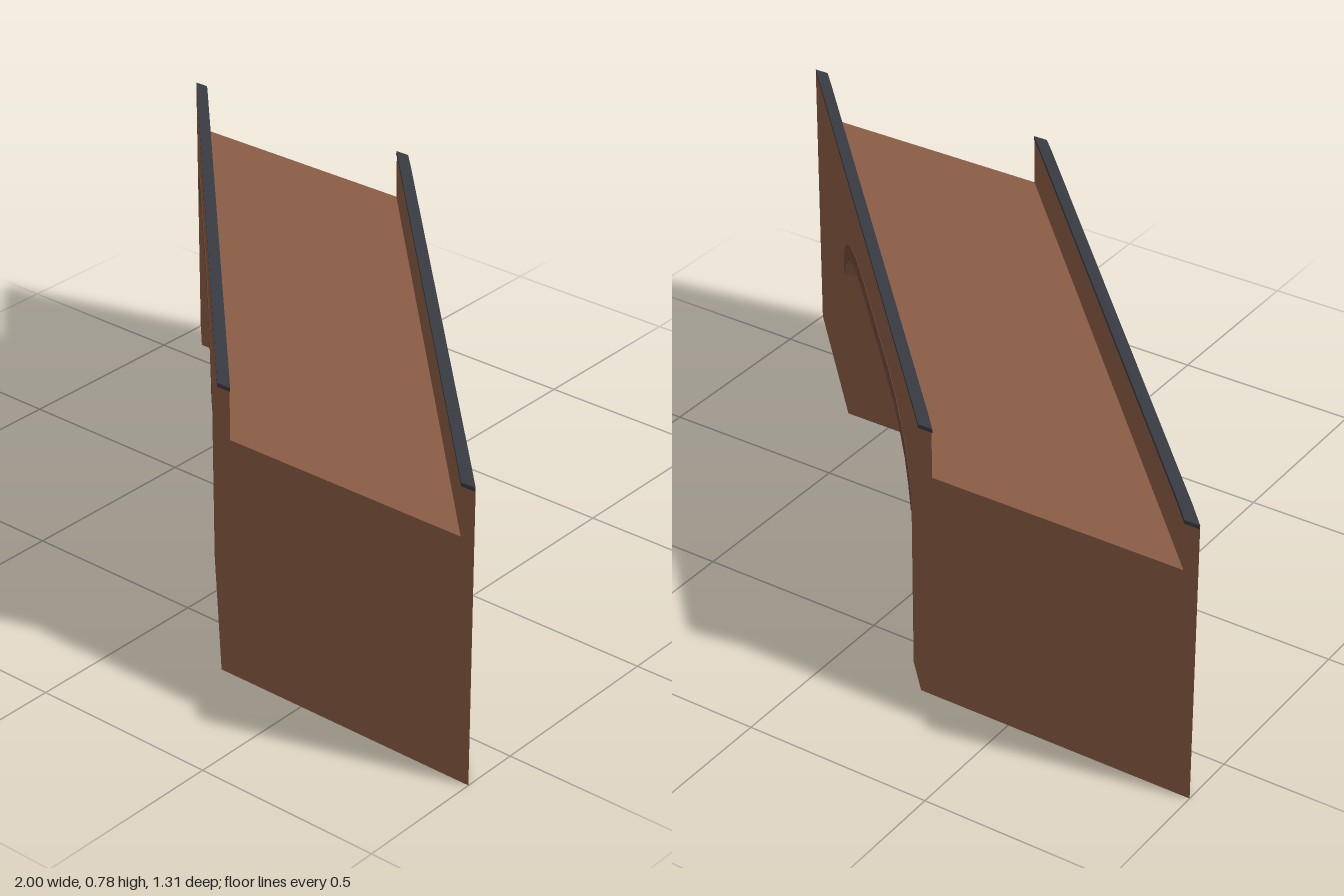
import * as THREE from 'three';

const SKEW = 0.954, END = 0.655, HALF = 0.375, WALL = 0.038;
const ARCH_MID = -0.15;

const brown = new THREE.MeshStandardMaterial({ color: 0x8b5d46 });
brown.name = 'brown masonry';
const darkBrown = new THREE.MeshStandardMaterial({ color: 0x6f4a3c });
darkBrown.name = 'dark arch brick';
const slate = new THREE.MeshStandardMaterial({ color: 0x383c42 });
slate.name = 'slate coping';

// Half arches as [distance from arch middle, height]
const innerHalf = [[0.42, 0.437], [0.394, 0.486], [0.355, 0.531], [0.295, 0.56], [0.243, 0.574], [0.14, 0.581]];
const outerHalf = [[0.42, 0.437], [0.42, 0.49], [0.4, 0.53], [0.36, 0.57], [0.313, 0.595], [0.243, 0.616], [0.155, 0.625]];

// Full arch from front springing to back springing, as [z, y]
function arch(half) {
  const front = half.map(([d, y]) => [ARCH_MID + d, y]);
  const back = half.map(([d, y]) => [ARCH_MID - d, y]).reverse();
  return [...front, ...back];
}

// Top lines from back to front, as [z, y]
const deckLine = [[-END, 0.62], [END, 0.64]];
const copingLine = [[-END, 0.752], [-0.6, 0.758], [0.6, 0.778], [END, 0.776]];
const lower = (line, d) => line.map(([z, y]) => [z, y - d]);

// Extrude a side profile from u0 to u1 across the bridge, then skew it in plan
function skewed(name, points, u0, u1, material) {
  const shape = new THREE.Shape(points.map(([z, y]) => new THREE.Vector2(-z, y)));
  const geo = new THREE.ExtrudeGeometry(shape, { depth: u1 - u0, bevelEnabled: false });
  const p = geo.attributes.position;
  for (let i = 0; i < p.count; i++) {
    const z = -p.getX(i);
    p.setXYZ(i, u0 + p.getZ(i) + SKEW * z, p.getY(i), z);
  }
  geo.computeVertexNormals();
  const mesh = new THREE.Mesh(geo, material);
  mesh.name = name;
  return mesh;
}

// Side outline of abutments and arch under a given top line
function outline(topLine) {
  return [[-END, 0], ...topLine, [END, 0], [ARCH_MID + 0.42, 0], ...arch(innerHalf), [ARCH_MID - 0.42, 0]];
}

export function createModel() {
  const group = new THREE.Group();
  group.name = 'skewArchBridge';

  // Abutments, vault and deck
  group.add(skewed('deckAndVault', outline(deckLine), -HALF + WALL, HALF - WALL, brown));

  const walls = outline(lower(copingLine, 0.01));
  const coping = [...copingLine, ...lower(copingLine, 0.01).reverse()];
  const ring = [...arch(outerHalf), ...arch(innerHalf).slice(1, -1).reverse()];

  // Parapet wall, coping and arch ring on both sides
  for (const [side, s] of [['left', 1], ['right', -1]]) {
    const add = (name, pts, a, b, mat) =>
      group.add(skewed(side + name, pts, Math.min(s * a, s * b), Math.max(s * a, s * b), mat));
    add('ParapetWall', walls, HALF - WALL, HALF, brown);
    add('Coping', coping, HALF - WALL - 0.002, HALF, slate);
    add('ArchRing', ring, HALF - 0.002, HALF + 0.002, darkBrown);
  }
  return group;
}
